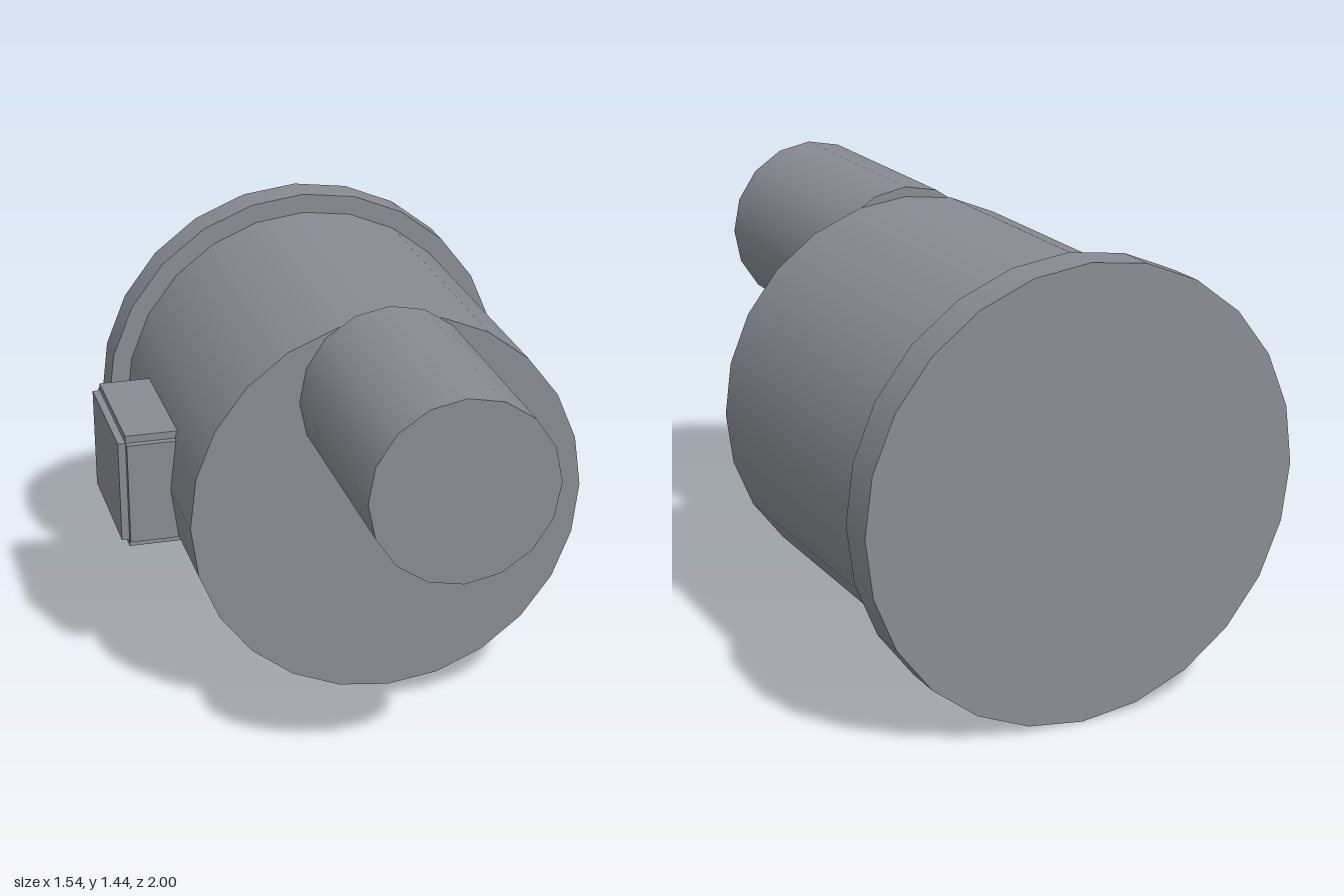
import * as THREE from 'three';

const material = new THREE.MeshStandardMaterial({ color: 0x888c92 });

export function createModel() {
  const model = new THREE.Group();
  model.name = 'drumHousing';

  const add = (name, geometry, parent = model) => {
    const mesh = new THREE.Mesh(geometry, material);
    mesh.name = name;
    parent.add(mesh);
  };

  // Closed cylinder lying along z between two depths
  const drum = (name, radius, y, zBack, zFront, sides) => {
    const g = new THREE.CylinderGeometry(radius, radius, zFront - zBack, sides);
    g.rotateX(Math.PI / 2).translate(0.049, y, (zBack + zFront) / 2);
    add(name, g);
  };

  drum('backFlange', 0.721, 0.721, -1, -0.87, 24);
  drum('body', 0.655, 0.721, -0.87, 0.213, 24);
  drum('frontPipe', 0.294, 1.115, 0.213, 1, 16);

  // Side block with notched edges: three crossing boxes, each longer on one axis
  const block = new THREE.Group();
  block.name = 'sideBlock';
  block.position.set(-0.575, 0.721, -0.362);
  const core = [0.34, 0.345, 0.475];
  ['outerPanel', 'topBottomPanel', 'frontBackPanel'].forEach((name, axis) => {
    const size = core.map((s, i) => (i === axis ? s + 0.05 : s));
    add(name, new THREE.BoxGeometry(...size), block);
  });
  model.add(block);

  return model;
}
